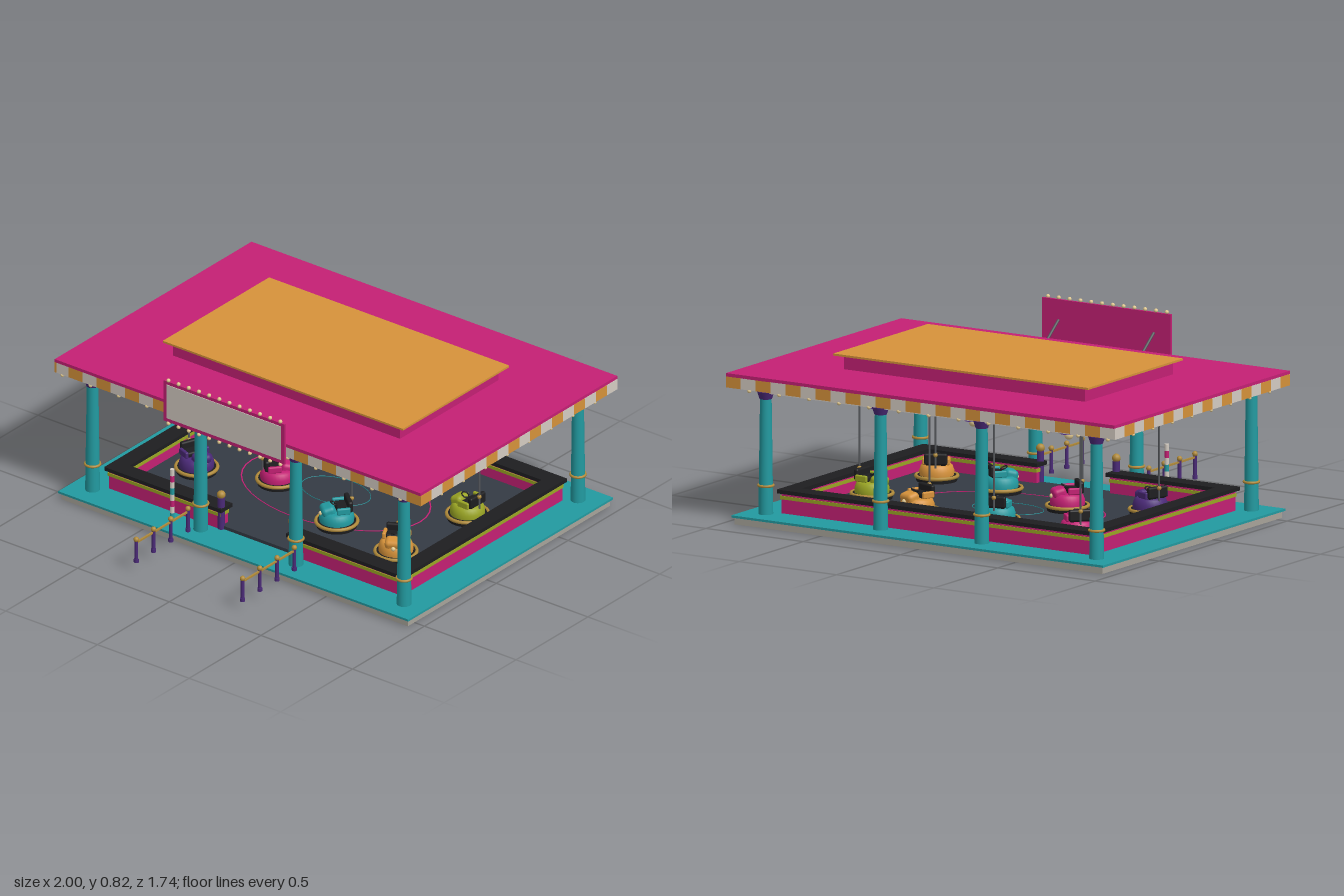
import * as THREE from 'three';
import { RoundedBoxGeometry } from 'three/addons/geometries/RoundedBoxGeometry.js';

const COLORS = {
  magenta: 0xc42074, teal: 0x229aa0, orange: 0xd6923a, cream: 0xd4ccc2, purple: 0x4b2a78,
  black: 0x1e1e20, olive: 0x9aa524, gold: 0xb08a3a, slate: 0x343a44, stone: 0xa8a49a,
  steel: 0x55585c, bulb: 0xe0c890, ceiling: 0x7a1248,
};
const MATS = {};
for (const key in COLORS) MATS[key] = new THREE.MeshStandardMaterial({ color: COLORS[key] });

const ZC = -0.16; // middle of the pavilion in z

function add(parent, name, geometry, color, x = 0, y = 0, z = 0) {
  const mesh = new THREE.Mesh(geometry, MATS[color]);
  mesh.name = name;
  mesh.position.set(x, y, z);
  parent.add(mesh);
  return mesh;
}
// Box given by its limits on each axis
function box(parent, name, color, x0, x1, y0, y1, z0, z1) {
  return add(parent, name, new THREE.BoxGeometry(x1 - x0, y1 - y0, z1 - z0), color,
    (x0 + x1) / 2, (y0 + y1) / 2, (z0 + z1) / 2);
}
// Upright cylinder from y0 to y1
function post(parent, name, color, x, z, y0, y1, rBottom, rTop = rBottom, sides = 16) {
  return add(parent, name, new THREE.CylinderGeometry(rTop, rBottom, y1 - y0, sides), color, x, (y0 + y1) / 2, z);
}
function ball(parent, name, color, x, y, z, r) {
  return add(parent, name, new THREE.SphereGeometry(r, 14, 10), color, x, y, z);
}
function ring(parent, name, color, x, y, z, r, tube) {
  const mesh = add(parent, name, new THREE.TorusGeometry(r, tube, 8, 40), color, x, y, z);
  mesh.rotation.x = Math.PI / 2;
  return mesh;
}
function group(parent, name) {
  const g = new THREE.Group();
  g.name = name;
  parent.add(g);
  return g;
}

function addColumn(parent, x, z) {
  const g = group(parent, 'column');
  post(g, 'columnShaft', 'teal', x, z, 0.04, 0.56, 0.032, 0.025, 20);
  ring(g, 'columnCollar', 'gold', x, 0.165, z, 0.032, 0.006);
  post(g, 'columnCapital', 'purple', x, z, 0.545, 0.578, 0.027, 0.038, 20);
}

// Bumper car with its nose towards local +z
function addCar(parent, x, z, color, turn) {
  const g = group(parent, 'bumperCar');
  g.position.set(x, 0.055, z);
  g.rotation.y = turn;
  post(g, 'carBumper', 'black', 0, 0, 0.004, 0.03, 0.088, 0.092, 32);
  ring(g, 'bumperTrim', 'gold', 0, 0.026, 0, 0.09, 0.008);
  const profile = [[0.075, 0.03], [0.076, 0.05], [0.068, 0.072], [0.055, 0.08], [0, 0.08]];
  add(g, 'carBody', new THREE.LatheGeometry(profile.map(p => new THREE.Vector2(...p)), 32), color);
  const hood = add(g, 'carHood', new RoundedBoxGeometry(0.08, 0.045, 0.06, 3, 0.018), color, 0, 0.084, 0.04);
  hood.rotation.x = 0.25;
  add(g, 'seat', new RoundedBoxGeometry(0.09, 0.025, 0.06, 2, 0.008), 'black', 0, 0.09, -0.025);
  add(g, 'seatBack', new RoundedBoxGeometry(0.1, 0.05, 0.022, 2, 0.008), 'black', 0, 0.108, -0.052);
  for (const s of [-1, 1]) add(g, 'armrest', new RoundedBoxGeometry(0.016, 0.03, 0.06, 2, 0.006), color, s * 0.052, 0.095, -0.02);
  const wheel = ring(g, 'steeringWheel', 'black', 0, 0.112, 0.012, 0.016, 0.003);
  wheel.rotation.x = 1.1;
  ball(g, 'headlamp', 'bulb', 0, 0.07, 0.07, 0.01);
  post(g, 'powerPole', 'steel', 0, -0.066, 0.07, 0.51, 0.0045, 0.0045, 8);
  ball(g, 'poleFoot', 'gold', 0, 0.128, -0.066, 0.01);
  ball(g, 'poleContact', 'gold', 0, 0.508, -0.066, 0.007);
}

function addBase(root) {
  const g = group(root, 'base');
  box(g, 'baseSlab', 'stone', -0.945, 0.945, 0, 0.03, -0.86, 0.545);
  box(g, 'baseDeck', 'teal', -0.955, 0.955, 0.03, 0.04, -0.87, 0.555);
  box(g, 'arenaFloor', 'slate', -0.79, 0.79, 0.04, 0.055, -0.7, 0.39);
  // Painted rings on the floor
  for (const [color, rx, rz] of [['magenta', 0.46, 0.3], ['teal', 0.17, 0.11]]) {
    const mark = ring(g, 'floorMarking', color, 0, 0.056, ZC, 1, 0.008);
    mark.scale.set(rx, rz, 0.2);
  }
  // Low wall: back, both sides and two front pieces beside the entrance
  const runs = [[-0.8, 0.8, -0.715, -0.665], [-0.8, -0.75, -0.715, 0.4], [0.75, 0.8, -0.715, 0.4],
    [-0.8, -0.19, 0.35, 0.4], [0.19, 0.8, 0.35, 0.4]];
  for (const [x0, x1, z0, z1] of runs) {
    box(g, 'arenaWall', 'magenta', x0, x1, 0.04, 0.128, z0, z1);
    box(g, 'wallStripe', 'olive', x0 - 0.004, x1 + 0.004, 0.102, 0.117, z0 - 0.004, z1 + 0.004);
    box(g, 'wallRail', 'black', x0 - 0.014, x1 + 0.014, 0.128, 0.145, z0 - 0.014, z1 + 0.014);
  }
  for (const s of [-1, 1]) {
    post(g, 'entrancePost', 'purple', s * 0.195, 0.39, 0.04, 0.19, 0.016);
    ball(g, 'entranceFinial', 'gold', s * 0.195, 0.203, 0.39, 0.019);
  }
}

function addRoof(root) {
  const g = group(root, 'roof');
  const z0 = -0.845, z1 = 0.525;
  box(g, 'roofSlab', 'magenta', -0.998, 0.998, 0.64, 0.655, z0, z1);
  box(g, 'raisedRoof', 'magenta', -0.62, 0.62, 0.655, 0.716, -0.5, 0.185);
  box(g, 'raisedRoofTop', 'orange', -0.655, 0.655, 0.716, 0.725, -0.53, 0.21);
  box(g, 'ceiling', 'ceiling', -0.97, 0.97, 0.6, 0.612, z0 + 0.02, z1 - 0.02);
  // Striped valance
  const nx = 26, nz = 18, wx = 2 / nx, wz = (z1 - z0) / nz;
  for (let i = 0; i < nx; i++) for (const z of [z0, z1 - 0.012])
    box(g, 'valancePanel', i % 2 ? 'orange' : 'cream', -1 + i * wx, -1 + (i + 1) * wx, 0.592, 0.641, z, z + 0.012);
  for (let i = 0; i < nz; i++) for (const x of [-1, 0.988])
    box(g, 'valancePanel', i % 2 ? 'orange' : 'cream', x, x + 0.012, 0.592, 0.641, z0 + i * wz, z0 + (i + 1) * wz);
  for (let i = 0; i < 26; i += 2) for (const z of [z0 + 0.006, z1 - 0.006])
    ball(g, 'valanceBulb', 'bulb', -0.96 + i * 0.0768, 0.588, z, 0.009);
  for (let i = 1; i < 9; i++) for (const x of [-0.994, 0.994])
    ball(g, 'valanceBulb', 'bulb', x, 0.588, z0 + i * wz * 2, 0.007);
  // Beams along the column lines
  for (const z of [0.45, -0.76]) box(g, 'roofBeam', 'cream', -0.87, 0.87, 0.572, 0.6, z - 0.02, z + 0.02);
  for (const x of [-0.85, 0.85]) box(g, 'roofBeam', 'cream', x - 0.02, x + 0.02, 0.572, 0.6, -0.76, 0.45);
  // Power grid over the arena
  for (let i = 0; i <= 12; i++) {
    const x = -0.78 + i * 0.13;
    box(g, 'gridBar', 'black', x - 0.005, x + 0.005, 0.572, 0.58, -0.72, 0.4);
  }
  for (let i = 0; i <= 8; i++) {
    const z = -0.72 + i * 0.14;
    box(g, 'gridBar', 'black', -0.78, 0.78, 0.57, 0.578, z - 0.005, z + 0.005);
  }
  // Hanging lamps
  for (const x of [-0.49, 0, 0.49]) for (const z of [0.12, -0.43]) {
    post(g, 'lampStem', 'black', x, z, 0.51, 0.575, 0.004, 0.004, 8);
    post(g, 'lampShade', 'purple', x, z, 0.49, 0.517, 0.041, 0.01, 20);
    ball(g, 'lampBulb', 'bulb', x, 0.482, z, 0.02);
  }
}

function addSign(root) {
  const g = group(root, 'signBoard');
  box(g, 'signBack', 'magenta', -0.33, 0.33, 0.615, 0.81, 0.607, 0.619);
  box(g, 'signFace', 'cream', -0.312, 0.312, 0.633, 0.795, 0.618, 0.622);
  for (let i = 0; i < 12; i++) for (const y of [0.608, 0.816])
    ball(g, 'signBulb', 'bulb', -0.305 + i * 0.0555, y, 0.617, 0.009);
  for (const s of [-1, 1]) {
    const path = new THREE.LineCurve3(new THREE.Vector3(s * 0.245, 0.645, 0.515), new THREE.Vector3(s * 0.245, 0.72, 0.607));
    add(g, 'signStrut', new THREE.TubeGeometry(path, 1, 0.006, 8), 'steel');
  }
}

function addQueue(root) {
  for (const x of [-0.29, 0.29]) {
    const g = group(root, 'queueRail');
    for (const z of [0.5, 0.62, 0.74, 0.86]) {
      post(g, 'queuePost', 'purple', x, z, 0.04, 0.145, 0.008, 0.008, 12);
      post(g, 'queuePostFoot', 'purple', x, z, 0.04, 0.055, 0.011, 0.011, 12);
      ball(g, 'queuePostKnob', 'gold', x, 0.15, z, 0.012);
    }
    box(g, 'queueBar', 'gold', x - 0.004, x + 0.004, 0.131, 0.139, 0.5, 0.86);
  }
  // Striped height marker
  const colors = ['teal', 'cream', 'magenta', 'cream'];
  for (let i = 0; i < 8; i++)
    post(root, 'heightMarker', i === 7 ? 'cream' : colors[i % 4], -0.415, 0.45, 0.04 + i * 0.03, 0.07 + i * 0.03, 0.01, 0.01, 12);
}

export function createModel() {
  const root = new THREE.Group();
  root.name = 'bumperCarPavilion';
  addBase(root);
  for (const x of [-0.85, -0.26, 0.26, 0.85]) for (const z of [0.45, -0.76]) addColumn(root, x, z);
  addRoof(root);
  addSign(root);
  addQueue(root);
  const cars = [[-0.58, 0.07, 'purple', 1.2], [-0.24, -0.06, 'magenta', 2.4], [0.2, 0.09, 'teal', -0.7],
    [0.57, 0.15, 'orange', 0.5], [0.6, -0.31, 'olive', -1.6], [0.25, -0.49, 'orange', 2.8],
    [-0.14, -0.45, 'teal', 0.3], [-0.58, -0.5, 'magenta', 0.8]];
  for (const car of cars) addCar(root, ...car);
  return root;
}
